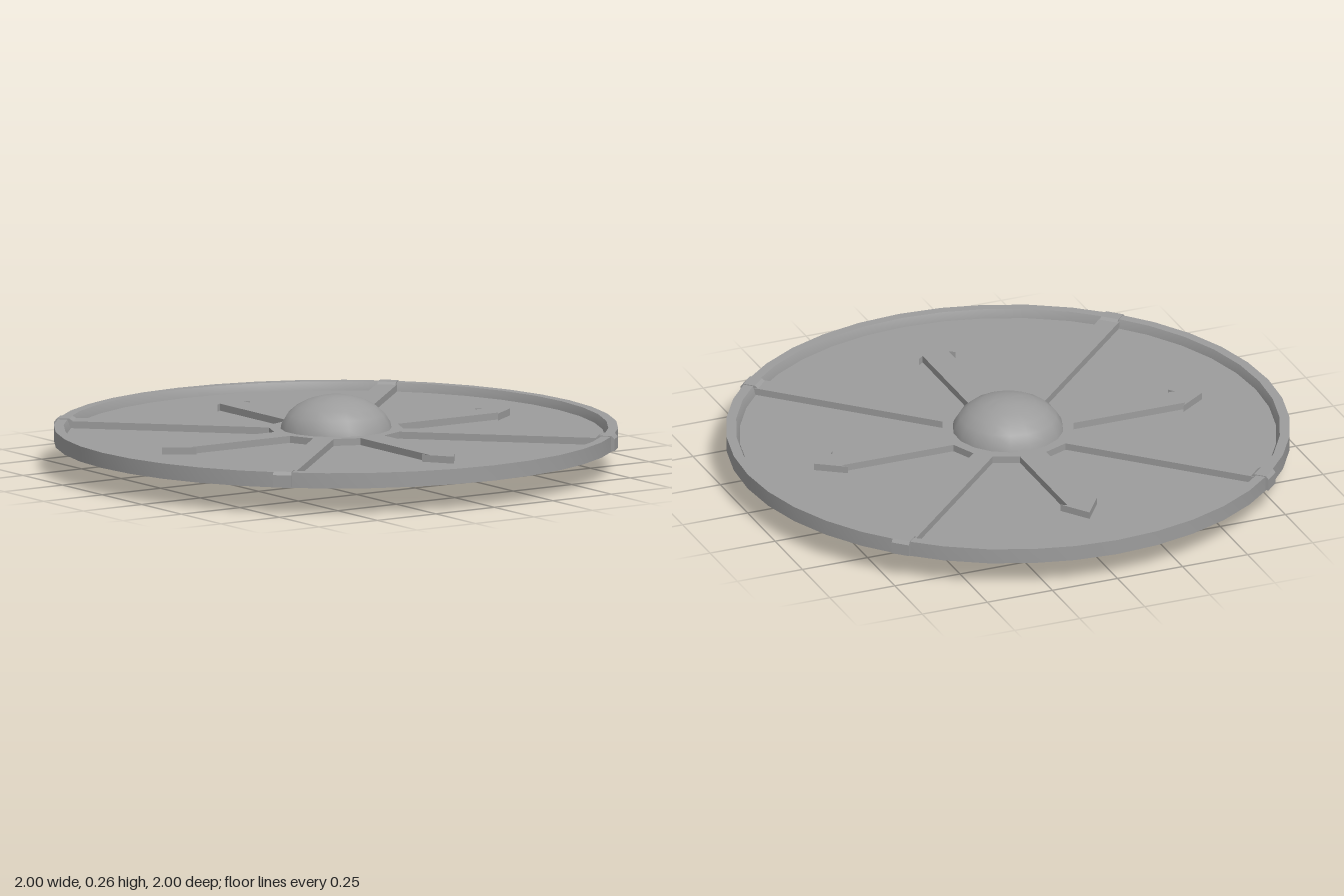
import * as THREE from 'three';
import { toCreasedNormals, mergeVertices } from 'three/addons/utils/BufferGeometryUtils.js';

const material = new THREE.MeshStandardMaterial({ color: 0x9c9c9c });

function add(parent, name, geometry) {
  const mesh = new THREE.Mesh(geometry, material);
  mesh.name = name;
  parent.add(mesh);
  return mesh;
}

// Turned solid, smooth around its axis with sharp profile corners
function lathe(profile, sides) {
  const geometry = new THREE.LatheGeometry(profile.map(([r, y]) => new THREE.Vector2(r, y)), sides);
  geometry.deleteAttribute('normal');
  geometry.deleteAttribute('uv');
  return toCreasedNormals(mergeVertices(geometry), 0.6);
}

// Four arrows and four spokes joined to a collar, as one raised outline
function ornamentGeometry(height) {
  const arrow = [[0.23, -0.05], [0.66, -0.05], [0.645, -0.07], [0.745, 0],
    [0.645, 0.07], [0.66, 0.05], [0.23, 0.05]];
  const spoke = [[0.235, -0.037], [0.955, -0.037], [0.955, 0.037], [0.235, 0.037]];
  const outline = [];
  for (let i = 0; i < 8; i++) {
    const turn = (i * Math.PI) / 4;
    for (const [x, y] of i % 2 ? spoke : arrow) {
      outline.push(new THREE.Vector2(x, y).rotateAround(new THREE.Vector2(), turn));
    }
  }
  const shape = new THREE.Shape(outline);
  shape.holes.push(new THREE.Path().absarc(0, 0, 0.185, 0, Math.PI * 2, true));
  return new THREE.ExtrudeGeometry(shape, { depth: height, bevelEnabled: false, curveSegments: 10 })
    .rotateX(-Math.PI / 2);
}

// Grip swept along z from rectangular sections: [z, bottom, top, half width]
function gripGeometry() {
  const sections = [
    [0.71, 0.065, 0.1, 0.045], [0.55, 0.065, 0.1, 0.056], [0.38, 0.065, 0.1, 0.068],
    [0.25, 0.057, 0.096, 0.068], [0.18, 0.038, 0.075, 0.05], [0.12, 0.02, 0.06, 0.045],
    [-0.01, 0.004, 0.056, 0.042], [-0.14, 0.02, 0.06, 0.045], [-0.2, 0.038, 0.075, 0.05],
    [-0.27, 0.057, 0.096, 0.068], [-0.4, 0.065, 0.1, 0.068], [-0.58, 0.065, 0.1, 0.056],
    [-0.745, 0.065, 0.1, 0.045],
  ];
  const positions = [];
  const index = [];
  for (const [z, bottom, top, w] of sections) {
    positions.push(-w, bottom, z, w, bottom, z, w, top, z, -w, top, z);
  }
  for (let s = 0; s < sections.length - 1; s++) {
    for (let k = 0; k < 4; k++) {
      const a = s * 4 + k, b = s * 4 + ((k + 1) % 4);
      index.push(a, a + 4, b, b, a + 4, b + 4);
    }
  }
  const e = (sections.length - 1) * 4;
  index.push(0, 1, 2, 0, 2, 3, e, e + 2, e + 1, e, e + 3, e + 2);
  const geometry = new THREE.BufferGeometry();
  geometry.setAttribute('position', new THREE.Float32BufferAttribute(positions, 3));
  geometry.setIndex(index);
  return toCreasedNormals(geometry, 0.6);
}

export function createModel() {
  const shield = new THREE.Group();
  shield.name = 'roundShield';

  // Board with a round opening behind the boss
  add(shield, 'board', lathe(
    [[0.18, 0.097], [0.54, 0.097], [0.952, 0.1], [0.952, 0.125], [0.18, 0.125], [0.18, 0.097]], 40));

  // Raised rim with a sloping inner wall
  add(shield, 'rim', lathe(
    [[0.952, 0.1], [1, 0.1], [1, 0.155], [0.965, 0.155], [0.952, 0.122], [0.952, 0.1]], 40));

  // Arrows, spokes and collar
  add(shield, 'ornament', ornamentGeometry(0.03)).position.y = 0.12;

  // Hollow domed boss
  const outer = [], inner = [];
  for (let i = 0; i <= 6; i++) {
    const a = (i / 6) * (Math.PI / 2);
    const c = i === 6 ? 0 : Math.cos(a), s = Math.sin(a);
    outer.push([0.2 * c, 0.135 + 0.134 * s]);
    inner.unshift([0.18 * c, 0.125 + 0.125 * s]);
  }
  add(shield, 'boss', lathe([...outer, ...inner, outer[0]], 18));

  // Clips holding the spokes over the rim
  const clipProfile = new THREE.Shape([[0.94, 0.104], [1.01, 0.104], [1.01, 0.146], [1, 0.158],
    [0.955, 0.158], [0.94, 0.148]].map(([r, y]) => new THREE.Vector2(r, y)));
  const clip = new THREE.ExtrudeGeometry(clipProfile, { depth: 0.066, bevelEnabled: false })
    .translate(0, 0, -0.033);
  for (let i = 0; i < 4; i++) {
    add(shield, 'rimClip', clip).rotation.y = Math.PI / 4 + (i * Math.PI) / 2;
  }

  // Hand grip across the back
  add(shield, 'grip', gripGeometry());

  return shield;
}
